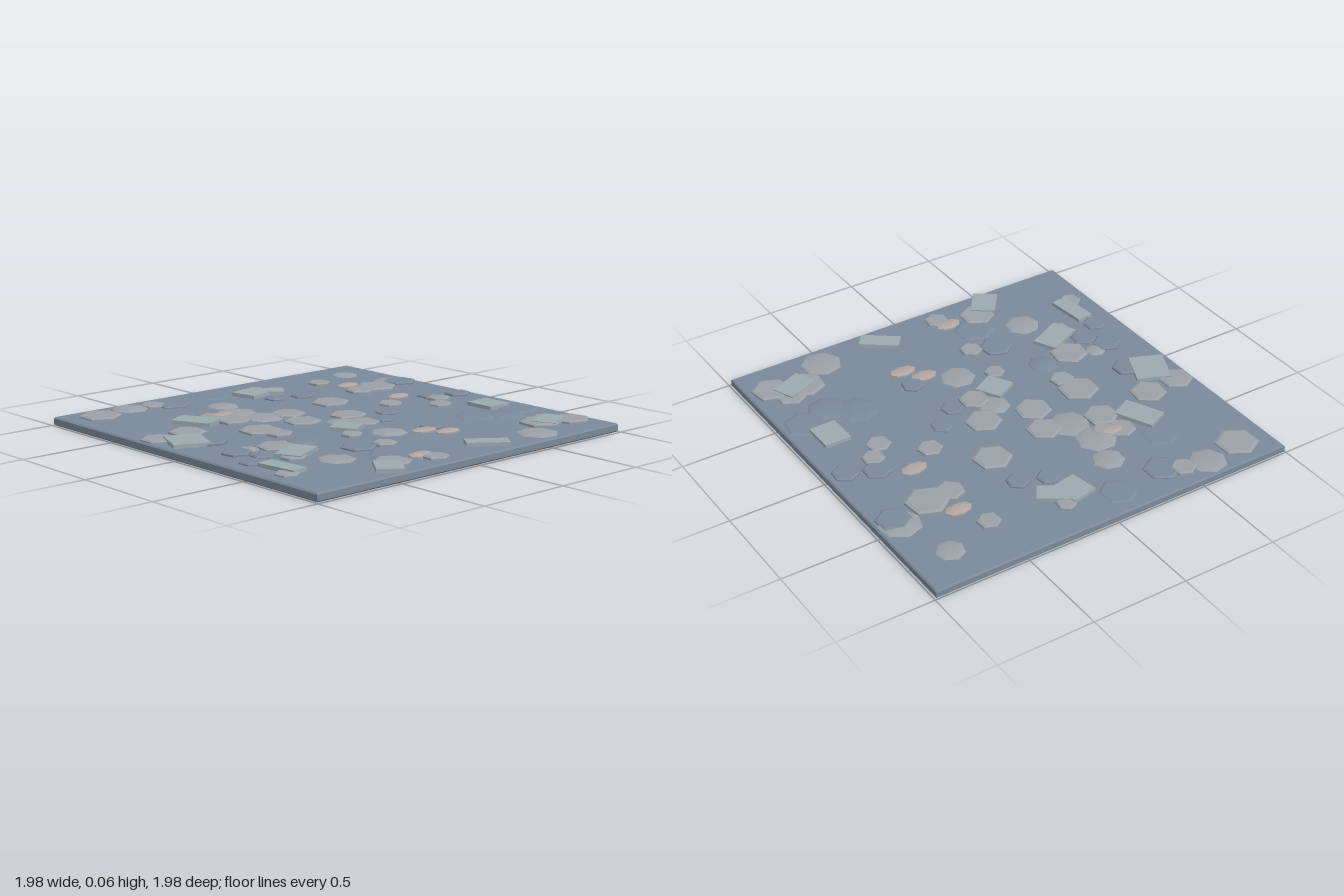
import * as THREE from 'three';

const SLAB_TOP = 0.043;
const paint = (color) => new THREE.MeshStandardMaterial({ color, flatShading: true });
const slate = paint(0x7a8a9b), stone = paint(0x9aa0a6), tile = paint(0x9aaaae), shell = paint(0xb0a5a0);

// x, z, radius
const paleStones = [
  [-0.81, -0.85, 0.11], [-0.47, -0.87, 0.065], [0.16, -0.8, 0.05], [0.53, -0.71, 0.06],
  [-0.39, -0.31, 0.09], [-0.41, -0.45, 0.075], [-0.33, -0.42, 0.065], [-0.09, -0.25, 0.09],
  [-0.43, -0.06, 0.105], [-0.41, 0.06, 0.065], [-0.14, -0.08, 0.095], [0.12, -0.03, 0.095],
  [0.25, -0.31, 0.1], [0.56, -0.42, 0.075], [0.69, -0.43, 0.11], [-0.9, -0.25, 0.09],
  [-0.71, -0.27, 0.095], [0.46, -0.08, 0.065], [0.06, 0.15, 0.08], [0.73, 0, 0.06],
  [0.65, 0.09, 0.065], [-0.58, 0.24, 0.1], [-0.66, 0.45, 0.065], [-0.16, 0.3, 0.055],
  [-0.17, 0.54, 0.06], [-0.88, 0.66, 0.06], [-0.38, 0.81, 0.095], [-0.17, 0.88, 0.065],
  [0.87, 0.78, 0.1], [0.71, 0.73, 0.11], [0.81, 0.68, 0.08],
];
const darkStones = [
  [-0.38, -0.82, 0.095], [0.11, -0.58, 0.06], [0.25, -0.53, 0.06], [0.89, -0.46, 0.09],
  [-0.75, -0.03, 0.075], [0.31, 0.05, 0.06], [0.19, 0.15, 0.06], [0.76, -0.09, 0.075],
  [0.9, -0.03, 0.07], [-0.8, 0.21, 0.075], [-0.73, 0.32, 0.07], [-0.86, 0.4, 0.065],
  [-0.3, 0.5, 0.09], [0.25, 0.43, 0.06],
];
const sunkenStones = [[-0.54, -0.59, 0.1], [-0.1, -0.85, 0.1], [0.87, 0.43, 0.11], [-0.29, 0.7, 0.11]];
const paleDomes = [
  [-0.6, -0.89, 0.1], [0.79, -0.79, 0.075], [-0.21, -0.62, 0.085], [-0.26, -0.45, 0.11],
  [-0.22, -0.28, 0.11], [0.88, -0.5, 0.11], [0, 0.06, 0.085], [0.02, 0.37, 0.095],
  [-0.53, 0.6, 0.095], [0.54, 0.86, 0.11], [-0.71, 0.19, 0.055],
];
const darkDomes = [[-0.41, 0.23, 0.08], [0.59, 0.4, 0.115], [0.71, 0.49, 0.105]];
// x, z, width, depth, turn
const tiles = [
  [0.07, -0.73, 0.14, 0.15, 0.2], [0.17, -0.71, 0.16, 0.1, -0.6], [-0.55, -0.41, 0.13, 0.21, 0.45],
  [-0.84, -0.11, 0.18, 0.2, -0.4], [-0.08, 0.18, 0.14, 0.14, 0.5], [-0.6, 0.4, 0.21, 0.13, 0.45],
  [-0.83, 0.57, 0.09, 0.22, 0.1], [-0.47, 0.88, 0.13, 0.17, -0.65], [0.19, 0.86, 0.21, 0.09, -0.65],
  [0.81, 0.28, 0.14, 0.165, 0], [0.76, 0.74, 0.18, 0.12, 0.4],
];
const shells = [[0.6, -0.56], [0.61, -0.18], [0.16, 0.47], [0.23, 0.56], [-0.2, 0.81], [-0.36, -0.44]];

export function createModel() {
  const model = new THREE.Group();
  const add = (name, geometry, material, x, y, z, turn = 0) => {
    const mesh = new THREE.Mesh(geometry, material);
    mesh.name = name;
    mesh.position.set(x, y, z);
    mesh.rotation.y = turn;
    model.add(mesh);
    return mesh;
  };

  // Ground slab with a small bevel round its edge
  const half = 0.985;
  const outline = new THREE.Shape([[-1, -1], [1, -1], [1, 1], [-1, 1]].map(([x, y]) => new THREE.Vector2(x * half, y * half)));
  const slab = new THREE.ExtrudeGeometry(outline, {
    depth: SLAB_TOP - 0.014, bevelThickness: 0.007, bevelSize: 0.007, bevelSegments: 1,
  });
  slab.rotateX(-Math.PI / 2);
  add('groundSlab', slab, slate, 0, 0.007, -0.005);

  // Six-sided stones with chamfered rims, bedded into the slab
  const layStones = (list, name, material, rise) => list.forEach(([x, z, r], i) => {
    const top = SLAB_TOP + rise + 0.0012 * (i % 5);
    const profile = [[0, 0.03], [r, 0.03], [r, top - 0.006], [r * 0.86, top], [0, top]];
    const geometry = new THREE.LatheGeometry(profile.map(([a, b]) => new THREE.Vector2(a, b)), 6);
    add(name, geometry, material, x, 0, z, 0.16 * Math.sin(i * 2.3));
  });
  layStones(paleStones, 'paleStone', stone, 0.012);
  layStones(darkStones, 'darkStone', slate, 0.01);
  layStones(sunkenStones, 'sunkenStone', slate, 0.003);

  // Low faceted domes
  const domeGeometry = new THREE.SphereGeometry(1, 7, 4, 0, Math.PI * 2, 0, Math.PI / 2);
  const layDomes = (list, name, material) => list.forEach(([x, z, r], i) => {
    add(name, domeGeometry, material, x, SLAB_TOP - 0.002, z, i * 1.1).scale.set(r, 0.014, r);
  });
  layDomes(paleDomes, 'paleDome', stone);
  layDomes(darkDomes, 'darkDome', slate);

  // Flat rectangular tiles over the stones
  tiles.forEach(([x, z, w, d, turn], i) => {
    add('tile', new THREE.BoxGeometry(w, 0.021, d), tile, x, 0.0515 + 0.0006 * (i % 3), z, turn);
  });

  // Small oval shells
  const shellGeometry = new THREE.SphereGeometry(1, 8, 5);
  shells.forEach(([x, z], i) => {
    add('shell', shellGeometry, shell, x, 0.048, z, 0.1 * Math.sin(i * 2)).scale.set(0.075, 0.014, 0.045);
  });
  return model;
}
